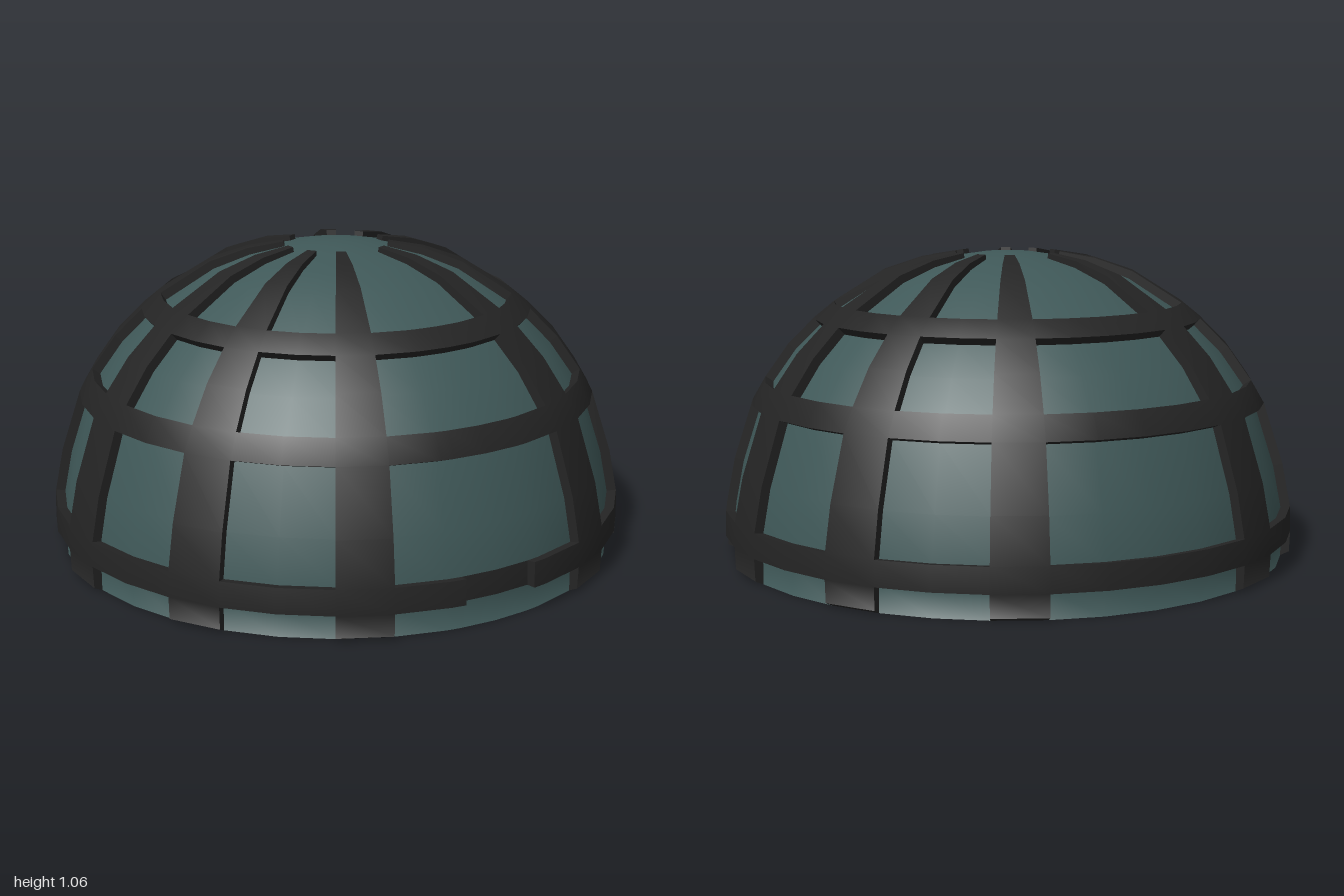
import * as THREE from 'three';

const SEGMENTS = 34;
const STEP = (Math.PI * 2) / SEGMENTS;
const SHIFT_Z = 0.008;
const GAP = 0.134;        // half angle of the break in the base ring

// Shell profile from rim to crown: radius, height, how far the frame stands proud
const PROFILE = [
  [0.973, 0, 0.033], [0.973, 0.09, 0.033], [0.97, 0.173, 0.033], [0.941, 0.32, 0.033],
  [0.873, 0.531, 0.033], [0.83, 0.604, 0.033], [0.75, 0.717, 0.033], [0.656, 0.811, 0.033],
  [0.594, 0.864, 0.031], [0.427, 0.971, 0.029], [0.3, 1.019, 0.024], [0.18, 1.046, 0.017],
  [0.09, 1.06, 0], [0, 1.064, 0],
];
const BANDS = PROFILE.length - 1;
const RIB_BANDS = 11;
const RING_BANDS = [1, 4, 7];

// Outward normal (radial, up) at each profile point
const NORMALS = PROFILE.map((p, j) => {
  if (j === 0) return [0.9, 0.43];
  if (j === BANDS) return [0, 1];
  const [a, b] = [PROFILE[j - 1], PROFILE[j + 1]];
  const dr = b[0] - a[0], dy = b[1] - a[1], l = Math.hypot(dr, dy);
  return [dy / l, -dr / l];
});

// Column edges around the dome, with two extra cuts for the front gap
const ANGLES = [];
for (let k = 0; k < SEGMENTS; k++) ANGLES.push((k - 0.5) * STEP);
ANGLES.push(Math.PI / 2 - GAP, Math.PI / 2 + GAP);
ANGLES.sort((a, b) => a - b);
const COLUMNS = ANGLES.length;
const angle = (i) => ANGLES[(i + COLUMNS) % COLUMNS];
const middle = (i) => angle(i) + (((angle(i + 1) - angle(i)) + Math.PI * 2) % (Math.PI * 2)) / 2;

// Segments that carry a rib: one every three, with a wider bay front and back
const RIBS = new Set([0, 3, 6, 11, 14, 17, 20, 23, 28, 31]);

function kind(j, i) {
  if (j < 0 || j >= BANDS) return 'none';
  const mid = middle(i);
  const segment = Math.floor(mid / STEP + 0.5) % SEGMENTS;
  if (RIBS.has(segment) && j < RIB_BANDS) return 'rib';
  if (!RING_BANDS.includes(j)) return 'glass';
  return j === 1 && Math.abs(mid - Math.PI / 2) < GAP ? 'inset' : 'ring';
}
const raised = (j, i) => ['rib', 'ring'].includes(kind(j, i));

// Point on the shell (lift 0) or on the frame's outer face (lift 1)
function point(j, i, lift) {
  const [radius, height, depth] = PROFILE[j];
  const r = radius + NORMALS[j][0] * depth * lift;
  const a = angle(i);
  return new THREE.Vector3(r * Math.cos(a), height + NORMALS[j][1] * depth * lift, r * Math.sin(a) + SHIFT_Z);
}
function normal(j, i) {
  const a = angle(i), [n, y] = NORMALS[j];
  return new THREE.Vector3(n * Math.cos(a), y, n * Math.sin(a)).normalize();
}

// Collects quads; without given normals a quad is shaded flat
class Builder {
  positions = [];
  normals = [];
  quad(corners, norms) {
    const [a, b, c, d] = corners;
    const flat = c.clone().sub(a).cross(d.clone().sub(b)).normalize();
    for (const k of [0, 1, 2, 0, 2, 3]) {
      this.positions.push(...corners[k].toArray());
      this.normals.push(...(norms ? norms[k] : flat).toArray());
    }
  }
  // Curved patch of the shell or of the frame's outer face
  panel(j, i, lift) {
    const cells = [[j, i], [j + 1, i], [j + 1, i + 1], [j, i + 1]];
    this.quad(cells.map(([v, u]) => point(v, u, lift)), cells.map(([v, u]) => normal(v, u)));
  }
  // Side wall between the shell and the raised face
  wall(j0, i0, j1, i1) {
    this.quad([point(j0, i0, 0), point(j1, i1, 0), point(j1, i1, 1), point(j0, i0, 1)]);
  }
  mesh(name, color) {
    const g = new THREE.BufferGeometry();
    g.setAttribute('position', new THREE.Float32BufferAttribute(this.positions, 3));
    g.setAttribute('normal', new THREE.Float32BufferAttribute(this.normals, 3));
    const m = new THREE.Mesh(g, new THREE.MeshStandardMaterial({ color, side: THREE.DoubleSide }));
    m.name = name;
    return m;
  }
}

export function createModel() {
  const parts = { glass: new Builder(), rib: new Builder(), ring: new Builder(), inset: new Builder() };

  for (let j = 0; j < BANDS; j++) {
    for (let i = 0; i < COLUMNS; i++) {
      const part = parts[kind(j, i)];
      part.panel(j, i, 0);
      if (!raised(j, i)) continue;
      // Raised face, closed off wherever the frame ends
      part.panel(j, i, 1);
      if (!raised(j - 1, i)) part.wall(j, i, j, i + 1);
      if (!raised(j + 1, i)) part.wall(j + 1, i + 1, j + 1, i);
      if (!raised(j, i - 1)) part.wall(j + 1, i, j, i);
      if (!raised(j, i + 1)) part.wall(j, i + 1, j + 1, i + 1);
    }
  }

  const model = new THREE.Group();
  model.name = 'dome';
  model.add(
    parts.glass.mesh('glassPanels', 0x3f5858),
    parts.rib.mesh('frameRibs', 0x242424),
    parts.ring.mesh('frameRings', 0x242424),
    parts.inset.mesh('baseRingInset', 0x242424),
  );
  return model;
}
